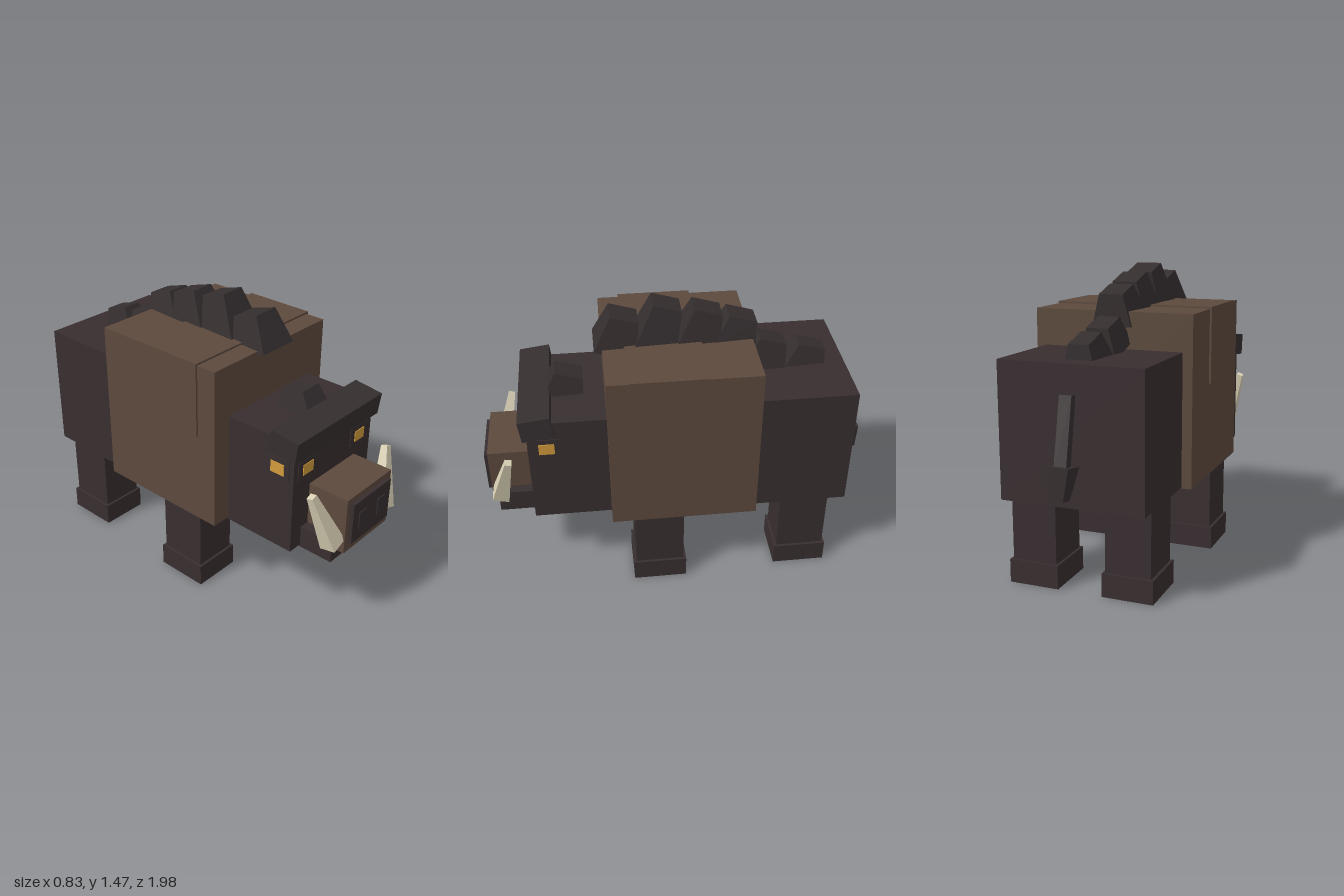
import * as THREE from 'three';

const mat = (name, color, side = THREE.FrontSide) => {
  const m = new THREE.MeshStandardMaterial({ color, side });
  m.name = name;
  return m;
};

export function createModel() {
  const root = new THREE.Group();
  root.name = 'boar';
  const fur = mat('brownFur', 0x5c493d);
  const hide = mat('darkHide', 0x382e30, THREE.DoubleSide);
  const bristle = mat('bristle', 0x352e2f);
  const ivory = mat('ivory', 0xd8cfb4);
  const amber = mat('amber', 0xd09a3c);

  const add = (name, geo, material) => {
    const m = new THREE.Mesh(geo, material);
    m.name = name;
    root.add(m);
    return m;
  };
  // Box given by its extents on each axis
  const box = (name, material, [x0, x1], [y0, y1], [z0, z1]) => {
    const m = add(name, new THREE.BoxGeometry(x1 - x0, y1 - y0, z1 - z0), material);
    m.position.set((x0 + x1) / 2, (y0 + y1) / 2, (z0 + z1) / 2);
    return m;
  };
  // Box tapering from [width, depth] at the bottom to [width, depth] at the top
  const frustum = (bottom, top, h) => {
    const g = new THREE.BoxGeometry(1, h, 1);
    const p = g.attributes.position;
    for (let i = 0; i < p.count; i++) {
      const s = p.getY(i) > 0 ? top : bottom;
      p.setX(i, p.getX(i) * s[0]);
      p.setZ(i, p.getZ(i) * s[1]);
    }
    g.computeVertexNormals();
    return g;
  };
  // Tapered box running between two points
  const limb = (name, material, a, b, sizeA, sizeB) => {
    const from = new THREE.Vector3(...a), to = new THREE.Vector3(...b);
    const dir = to.clone().sub(from);
    const m = add(name, frustum(sizeA, sizeB, dir.length()), material);
    m.position.copy(from).add(to).multiplyScalar(0.5);
    m.quaternion.setFromUnitVectors(new THREE.Vector3(0, 1, 0), dir.normalize());
    return m;
  };

  // Body
  box('chest', fur, [-0.405, 0.405], [0.43, 1.27], [-0.38, 0.355]);
  box('shoulderPad', fur, [-0.415, 0.415], [0.9, 1.28], [-0.125, 0.25]);
  box('hindquarters', hide, [-0.355, 0.355], [0.435, 1.09], [-0.86, -0.375]);

  // Head
  box('head', hide, [-0.303, 0.303], [0.42, 1.005], [0.265, 0.745]);
  box('jaw', hide, [-0.228, 0.228], [0.41, 0.525], [0.67, 0.925]);
  box('muzzle', fur, [-0.177, 0.177], [0.45, 0.745], [0.73, 0.96]);
  box('snout', hide, [-0.15, 0.15], [0.5, 0.717], [0.95, 0.98]);
  const brow = add('brow', new THREE.BoxGeometry(0.655, 0.115, 0.155), bristle);
  brow.position.set(0, 0.985, 0.695);
  brow.rotation.x = 0.13;

  for (const s of [-1, 1]) {
    const side = s > 0 ? 'left' : 'right';
    const span = (a, b) => (s > 0 ? [a, b] : [-b, -a]);

    // Eyes on the front and side of the head
    box(side + 'FrontSocket', hide, span(0.135, 0.272), [0.8, 0.9], [0.743, 0.749]);
    box(side + 'FrontEye', amber, span(0.165, 0.24), [0.82, 0.875], [0.747, 0.753]);
    box(side + 'SideSocket', hide, span(0.3, 0.307), [0.798, 0.908], [0.58, 0.72]);
    box(side + 'SideEye', amber, span(0.305, 0.311), [0.823, 0.882], [0.615, 0.692]);
    box(side + 'Nostril', bristle, span(0.047, 0.103), [0.565, 0.655], [0.978, 0.985]);

    // Tusks and ears
    limb(side + 'Tusk', ivory, [s * 0.205, 0.5, 0.915], [s * 0.3, 0.78, 0.847],
      [0.09, 0.085], [0.034, 0.034]);
    const ear = add(side + 'Ear', frustum([0.17, 0.07], [0.03, 0.02], 0.16), bristle);
    ear.position.set(s * 0.21, 0.975, 0.335);

    // Legs with hooves that are open underneath
    for (const [end, dx, z] of [['Front', 0.035, 0.115], ['Back', 0, -0.645]]) {
      box(side + end + 'Leg', hide, span(0.125 + dx, 0.35 + dx), [0.08, 0.5], [z - 0.125, z + 0.125]);
      const hoof = box(side + end + 'Hoof', hide, span(0.112 + dx, 0.364 + dx), [0, 0.115],
        [z - 0.138, z + 0.138]);
      const index = [...hoof.geometry.index.array];
      index.splice(18, 6); // drop the sole face
      hoof.geometry.setIndex(index);
      hoof.geometry.clearGroups();
    }
  }

  // Mane: [top z, top y, height, base width, top width]
  const mane = [
    [0.525, 1.103, 0.14, 0.18, 0.12],
    [0.243, 1.405, 0.18, 0.22, 0.14],
    [0.035, 1.453, 0.22, 0.22, 0.13],
    [-0.163, 1.418, 0.18, 0.21, 0.125],
    [-0.333, 1.37, 0.15, 0.2, 0.12],
    [-0.49, 1.228, 0.14, 0.18, 0.11],
    [-0.69, 1.18, 0.13, 0.16, 0.1],
  ];
  const lean = 0.29;
  for (const [z, y, h, base, top] of mane) {
    const spike = add('maneTuft', frustum([base, 0.21], [top, 0.142], h), bristle);
    spike.position.set(0, y - (h / 2) * Math.cos(lean), z + (h / 2) * Math.sin(lean));
    spike.rotation.x = -lean;
  }

  // Tail
  limb('tail', bristle, [0, 0.955, -0.875], [0, 0.63, -0.94], [0.06, 0.04], [0.06, 0.045]);
  limb('tailTuft', bristle, [0, 0.65, -0.936], [0, 0.502, -0.962], [0.11, 0.112], [0.06, 0.066]);

  return root;
}
